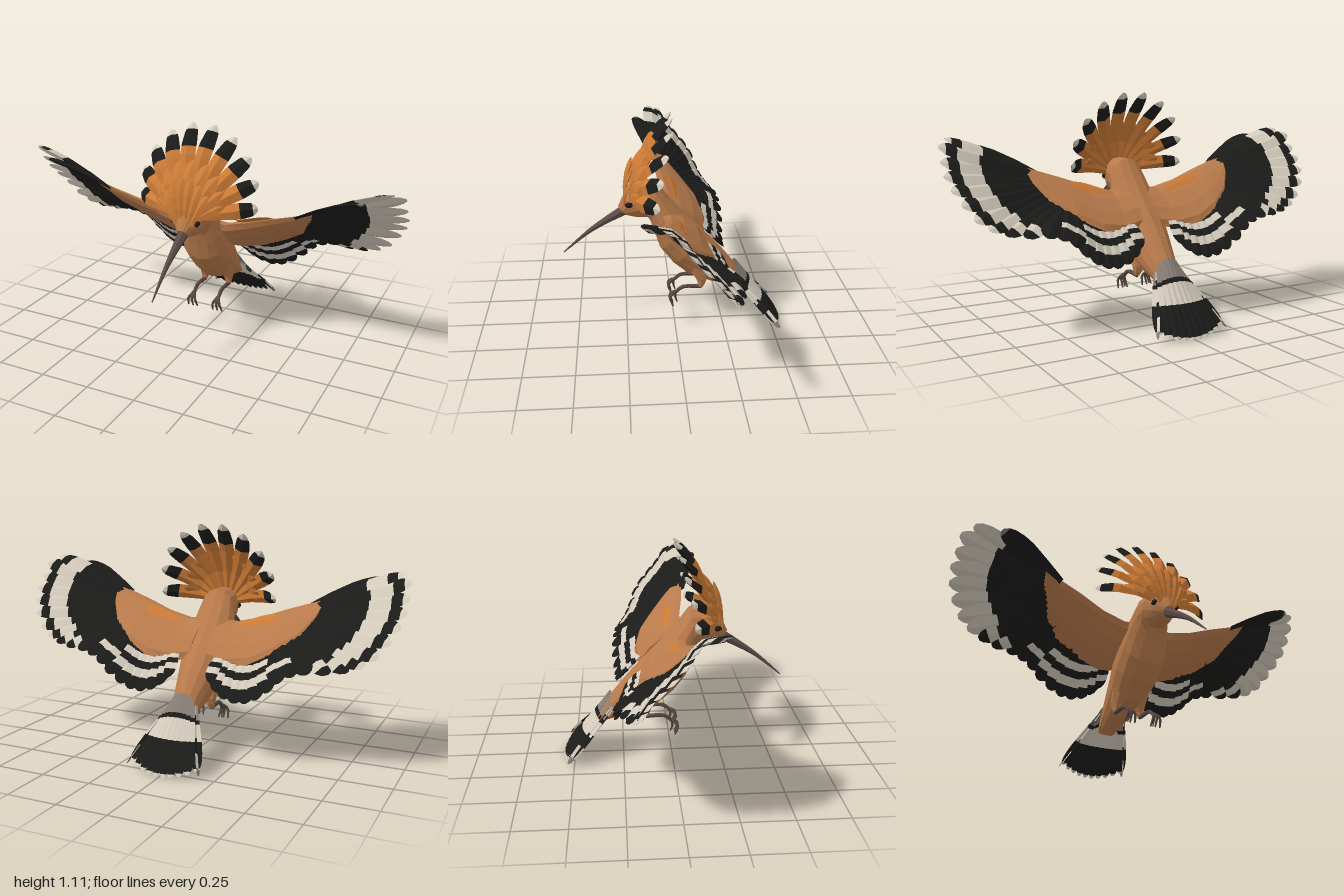
import * as THREE from 'three';

const mat = (name, color) => {
  const m = new THREE.MeshStandardMaterial({ color, flatShading: true, side: THREE.DoubleSide });
  m.name = name;
  return m;
};
const M = {
  body: mat('tawny', 0xb87a4b), crest: mat('orange', 0xcb7a36), black: mat('black', 0x1b1b1a),
  white: mat('cream', 0xd3cabb), grey: mat('grey', 0x857d75), beak: mat('beakBrown', 0x5c4b48),
  leg: mat('legBrown', 0x54463f),
};
const V = (x, y, z) => new THREE.Vector3(x, y, z);
const curve = (pts) => new THREE.CatmullRomCurve3(pts.map((p) => V(...p)));

function meshFrom(points, material, name) {
  const g = new THREE.BufferGeometry().setFromPoints(points);
  g.computeVertexNormals();
  const m = new THREE.Mesh(g, material);
  m.name = name;
  return m;
}

// Skin over a list of closed rings, capped at both ends
function loft(rings, material, name) {
  const out = [], n = rings[0].length;
  for (let i = 0; i < rings.length - 1; i++) {
    for (let j = 0; j < n; j++) {
      const k = (j + 1) % n, a = rings[i], b = rings[i + 1];
      out.push(a[j], b[j], a[k], a[k], b[j], b[k]);
    }
  }
  for (const r of [rings[0], rings[rings.length - 1]]) {
    for (let j = 1; j < n - 1; j++) out.push(r[0], r[j], r[j + 1]);
  }
  return meshFrom(out, material, name);
}

// Elliptical ring between two opposite points, widened along a side vector
function ring(a, b, side, n) {
  const c = a.clone().add(b).multiplyScalar(0.5), h = a.clone().sub(c);
  return Array.from({ length: n }, (_, i) => {
    const t = (i / n) * Math.PI * 2;
    return c.clone().addScaledVector(h, Math.cos(t)).addScaledVector(side, Math.sin(t));
  });
}

// Tapered limb along a path
function limb(pts, r0, r1, material, name, segs = 8) {
  const c = curve(pts), rings = [];
  for (let i = 0; i <= segs; i++) {
    const t = i / segs, p = c.getPoint(t), d = c.getTangent(t), r = r0 + (r1 - r0) * t;
    const u = V(1, 0, 0).cross(d).normalize().multiplyScalar(r);
    const s = u.clone().cross(d).normalize().multiplyScalar(r);
    rings.push(ring(p.clone().add(u), p.clone().sub(u), s, 7));
  }
  return loft(rings, material, name);
}

// Feathers of one group gather their triangles by colour
class Plumage {
  constructor(name) { this.name = name; this.faces = {}; }

  // bands: [colour, end] pairs from base to tip, with another list for the underside
  add(base, tip, width, normal, bands, { under = bands, bend = 0, twist = 0.08, thick = 0.2 } = {}) {
    const dir = tip.clone().sub(base);
    const u = normal.clone().cross(dir).normalize();
    const n = dir.clone().cross(u).normalize();
    u.addScaledVector(n, twist);
    const ends = [...bands, ...under].map((b) => b[1]);
    const ts = [...new Set([0, 0.3, 0.6, 0.75, 0.88, 0.96, 1, ...ends])].sort((a, b) => a - b);
    const rows = ts.map((t) => {
      const round = t > 0.75 ? Math.sqrt(1 - 0.95 * ((t - 0.75) / 0.25) ** 2) : 1;
      const w = (width / 2) * (0.45 + 0.55 * Math.min(1, t / 0.6)) * round;
      const c = base.clone().addScaledVector(dir, t).addScaledVector(n, bend * Math.sin(Math.PI * t));
      return [[u, -w], [n, w * thick], [u, w], [n, -w * thick]].map(([d, k]) => c.clone().addScaledVector(d, k));
    });
    for (let i = 0; i < ts.length - 1; i++) {
      const [a, b] = [rows[i], rows[i + 1]];
      for (let j = 0; j < 4; j++) {
        const colour = (j < 2 ? bands : under).find((band) => ts[i] < band[1] - 1e-6)[0];
        const k = (j + 1) % 4;
        (this.faces[colour] ??= []).push(a[j], a[k], b[j], b[j], a[k], b[k]);
      }
    }
  }

  build() {
    const g = new THREE.Group();
    g.name = this.name;
    for (const c in this.faces) g.add(meshFrom(this.faces[c], M[c], `${this.name}_${c}`));
    return g;
  }
}

// Row of feathers between two curves, each lying flat in the fan they span
function feathers(name, basePts, tipPts, count, width, style) {
  const row = new Plumage(name), base = curve(basePts), tip = curve(tipPts);
  for (let i = 0; i < count; i++) {
    const t = i / (count - 1), a = base.getPoint(t), b = tip.getPoint(t);
    const across = base.getTangent(t).add(tip.getTangent(t));
    const { bands, under } = style(i);
    row.add(a, b, width, b.clone().sub(a).cross(across), bands, { under, bend: 0.012, thick: 0.25 });
  }
  return row.build();
}

function makeWing(name) {
  const wing = new THREE.Group();
  wing.name = name;
  const up = V(-0.15, 0.75, -0.64).normalize();

  // Fleshy arm: leading point, trailing point, half thickness
  const arm = [
    [[0.04, 0.65, 0.07], [0.05, 0.47, -0.15], 0.05],
    [[0.13, 0.64, 0.06], [0.15, 0.46, -0.17], 0.04],
    [[0.25, 0.67, 0.06], [0.27, 0.48, -0.18], 0.03],
    [[0.38, 0.715, 0.08], [0.39, 0.54, -0.15], 0.025],
    [[0.49, 0.75, 0.09], [0.49, 0.61, -0.08], 0.018],
    [[0.58, 0.785, 0.1], [0.55, 0.7, 0.0], 0.008],
  ].map(([l, t, h]) => ring(V(...l), V(...t), up.clone().multiplyScalar(h), 10));
  wing.add(loft(arm, M.body, 'wingArm'));

  // Orange shoulder patch
  const patch = new Plumage('shoulderPatch');
  patch.add(V(0.16, 0.637, -0.02), V(0.36, 0.688, 0), 0.06, up, [['crest', 1]], { twist: 0, thick: 0.1 });
  wing.add(patch.build());

  // Long outer flight feathers
  wing.add(feathers('primaries',
    [[0.5, 0.745, 0.085], [0.5, 0.69, 0.02], [0.43, 0.61, -0.06]],
    [[0.83, 0.885, 0.16], [0.97, 0.915, 0.05], [0.985, 0.83, -0.01], [0.985, 0.745, -0.08],
      [0.95, 0.66, -0.15], [0.885, 0.57, -0.19], [0.8, 0.52, -0.22], [0.69, 0.5, -0.255]],
    11, 0.105, (i) => {
      if (i === 0) return { bands: [['black', 0.95], ['grey', 1]] };
      if (i > 8) return { bands: [['black', 0.75], ['white', 0.88], ['black', 1]] };
      return {
        bands: [['black', 0.63], ['white', 0.84], ['black', 0.94], ['white', 1]],
        under: [['black', 0.65], ['white', 1]],
      };
    }));

  // Shorter barred inner feathers
  wing.add(feathers('secondaries',
    [[0.43, 0.6, -0.06], [0.3, 0.56, -0.08], [0.14, 0.54, -0.08]],
    [[0.6, 0.495, -0.28], [0.5, 0.465, -0.295], [0.42, 0.395, -0.3], [0.33, 0.335, -0.29],
      [0.25, 0.32, -0.285], [0.17, 0.345, -0.275], [0.125, 0.39, -0.25]],
    10, 0.1, (i) => ({
      bands: i === 0 ? [['black', 1]] : i < 3 ? [['black', 0.6], ['white', 0.73], ['black', 1]]
        : [['black', 0.38], ['white', 0.51], ['black', 0.64], ['white', 0.79], ['black', 1]],
    })));
  return wing;
}

function makeLeg(name) {
  const leg = new THREE.Group();
  leg.name = name;
  leg.add(limb([[0.055, 0.35, -0.11], [0.065, 0.28, -0.135], [0.07, 0.235, -0.13]], 0.045, 0.013, M.body, 'thigh', 4));
  leg.add(limb([[0.07, 0.235, -0.135], [0.07, 0.236, -0.04], [0.07, 0.205, 0.0]], 0.011, 0.009, M.leg, 'shank', 6));
  for (const s of [-1, 0, 1]) {
    leg.add(limb([[0.07, 0.21, 0], [0.07 + s * 0.018, 0.185, 0.028], [0.07 + s * 0.026, 0.14, 0.012]], 0.01, 0.004, M.leg, 'frontToe', 5));
  }
  leg.add(limb([[0.07, 0.21, 0], [0.07, 0.18, 0.0], [0.07, 0.15, -0.01]], 0.009, 0.003, M.leg, 'hindToe', 4));
  return leg;
}

// Flat dark oval on the side of the head or neck
function darkSpot(name, x, y, z, rx, ry, rz) {
  const spot = new THREE.Mesh(new THREE.SphereGeometry(1, 10, 8), M.black);
  spot.name = name;
  spot.position.set(x, y, z);
  spot.scale.set(rx, ry, rz);
  return spot;
}

export function createModel() {
  const bird = new THREE.Group();
  bird.name = 'bird';

  // Head and body: back (z, y), belly (z, y), half width
  const sections = [
    [0.28, 0.665, 0.235, 0.615, 0.028], [0.25, 0.73, 0.18, 0.605, 0.064], [0.19, 0.79, 0.13, 0.605, 0.085],
    [0.09, 0.79, 0.12, 0.58, 0.09], [0.03, 0.71, 0.1, 0.52, 0.11], [-0.05, 0.62, 0.075, 0.44, 0.122],
    [-0.14, 0.53, 0.015, 0.36, 0.122], [-0.23, 0.435, -0.07, 0.285, 0.1], [-0.305, 0.342, -0.2, 0.235, 0.075],
    [-0.385, 0.22, -0.355, 0.192, 0.045],
  ];
  bird.add(loft(sections.map(([bz, by, fz, fy, w]) => ring(V(0, by, bz), V(0, fy, fz), V(w, 0, 0), 14)), M.body, 'body'));

  bird.add(limb([[0, 0.643, 0.245], [0, 0.595, 0.33], [0, 0.53, 0.43], [0, 0.42, 0.56]], 0.027, 0.003, M.beak, 'beak', 10));

  for (const s of [-1, 1]) {
    bird.add(darkSpot('eye', s * 0.062, 0.69, 0.225, 0.01, 0.014, 0.022));
    bird.add(darkSpot('neckSpot', s * 0.074, 0.627, 0.09, 0.012, 0.014, 0.02));
    const side = s > 0 ? 'left' : 'right';
    for (const part of [makeWing(`${side}Wing`), makeLeg(`${side}Leg`)]) {
      part.scale.x = s;
      bird.add(part);
    }
  }

  // Crest: tall tipped feathers, with shorter plain ones in front
  const crest = new Plumage('crest');
  const front = V(0, 0.3, 1).normalize();
  const tall = 10;
  for (let i = 0; i < tall; i++) {
    const a = ((i + 0.5) / tall - 0.5) * 3.75, s = Math.sin(a), c = Math.cos(a);
    const tip = V(s * 0.315, 0.8 + c * 0.325, 0.09 - 0.075 * Math.max(0, c));
    crest.add(V(s * 0.05, 0.72 + c * 0.03, 0.2), tip, 0.076, front,
      [['crest', 0.71], ['black', 0.92], ['white', 1]], { bend: 0.035, thick: 0.5 });
  }
  for (let i = 0; i < 9; i++) {
    const a = (i / 8 - 0.5) * 3.1, s = Math.sin(a), c = Math.cos(a);
    crest.add(V(s * 0.05, 0.71 + c * 0.03, 0.22), V(s * 0.2, 0.78 + c * 0.19, 0.13), 0.065, front,
      [['crest', 1]], { bend: 0.03, thick: 0.4 });
  }
  for (let i = 0; i < 6; i++) {
    const a = (i / 5 - 0.5) * 2.2, s = Math.sin(a), c = Math.cos(a);
    crest.add(V(s * 0.045, 0.67 + c * 0.03, 0.25), V(s * 0.12, 0.76 + c * 0.15, 0.21), 0.045, front,
      [['crest', 1]], { bend: 0.012, thick: 0.4 });
  }
  bird.add(crest.build());

  // Fanned tail, drooping at the sides
  const tail = new Plumage('tail');
  for (let i = 0; i < 10; i++) {
    const f = (i - 4.5) / 4.5, q = f * f;
    tail.add(V(f * 0.06, 0.348 - q * 0.06, -0.315 + q * 0.015), V(f * 0.17, 0.014 + q * 0.038, -0.56 + q * 0.045),
      0.058, V(f * 0.2, 0.65, -0.76),
      [['grey', 0.24], ['black', 0.3], ['white', 0.57], ['black', 0.96], ['white', 1]], { thick: 0.3 });
  }
  // Barred edge on each side of the tail
  for (const s of [-1, 1]) {
    tail.add(V(s * 0.066, 0.285, -0.3), V(s * 0.185, 0.04, -0.53), 0.036, V(s, 0.2, -0.2),
      [['white', 0.14], ['black', 0.28], ['white', 0.48], ['black', 0.7], ['white', 0.9], ['grey', 1]], { twist: 0 });
  }
  bird.add(tail.build());
  return bird;
}
